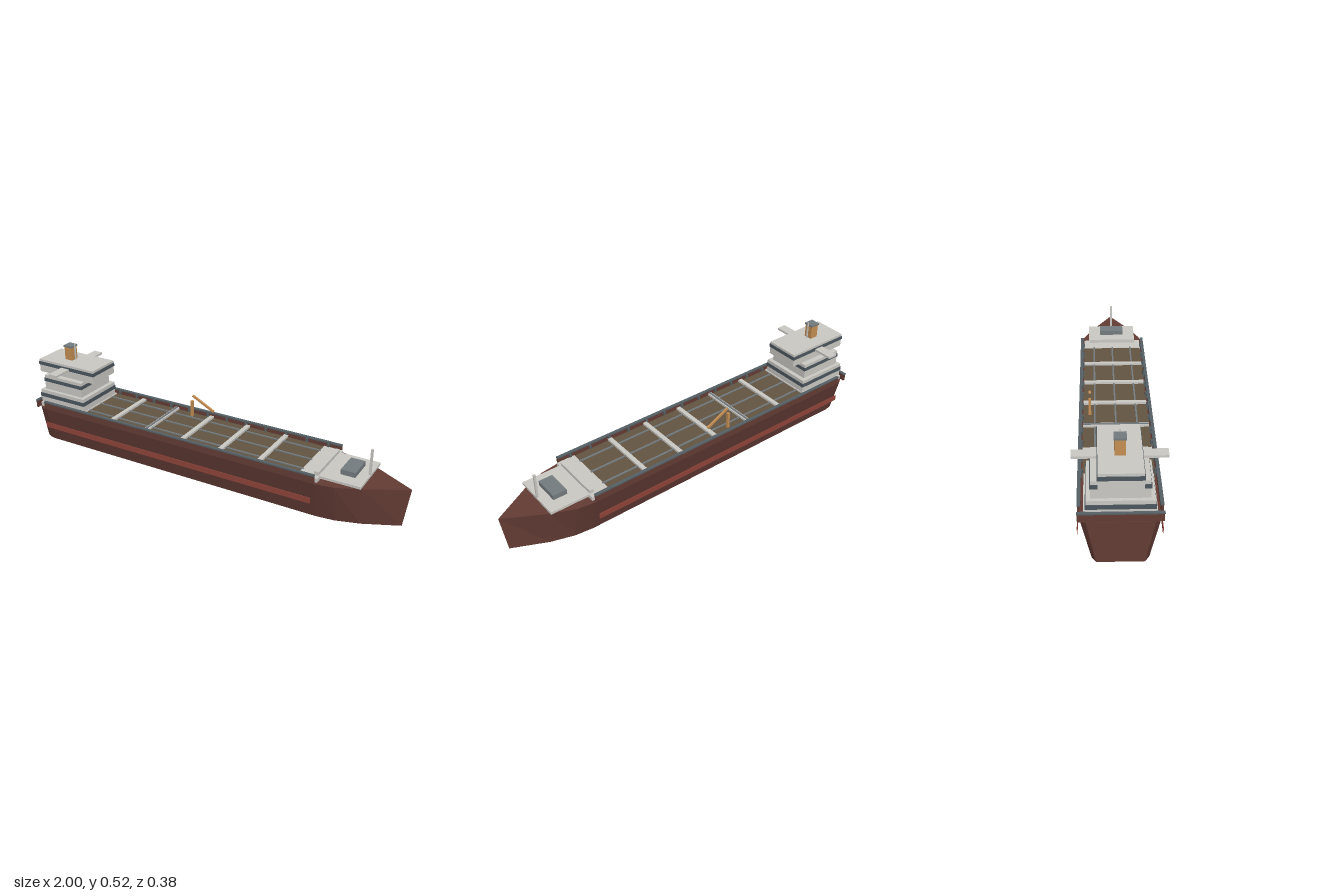
import * as THREE from 'three';

const material = (name, color) => {
  const m = new THREE.MeshStandardMaterial({ color });
  m.name = name;
  return m;
};

export function createModel() {
  const ship = new THREE.Group();
  ship.name = 'cargoShip';

  const hullRed = material('hull oxide red', 0x643c35);
  const stripeRed = material('stripe red', 0x8f4439);
  const white = material('superstructure white', 0xcbc9c4);
  const glass = material('window slate', 0x4c575f);
  const rail = material('rail grey', 0x566064);
  const steel = material('hatch grey', 0x747c80);
  const brown = material('hold brown', 0x645542);
  const ochre = material('crane ochre', 0xc58f53);

  // Box given by its x, y and z limits
  const box = (name, mat, x0, x1, y0, y1, z0, z1) => {
    const mesh = new THREE.Mesh(new THREE.BoxGeometry(x1 - x0, y1 - y0, z1 - z0), mat);
    mesh.position.set((x0 + x1) / 2, (y0 + y1) / 2, (z0 + z1) / 2);
    mesh.name = name;
    ship.add(mesh);
    return mesh;
  };
  // Box centred across the ship
  const mid = (name, mat, x0, x1, y0, y1, half) => box(name, mat, x0, x1, y0, y1, -half, half);

  // Hull: plan outline extruded upwards, narrowed at the keel
  const half = [[-0.975, 0.135], [-0.945, 0.16], [-0.91, 0.168], [0.61, 0.168], [0.7, 0.154], [0.81, 0.107]];
  const outline = [
    ...half.map(([x, z]) => new THREE.Vector2(x, -z)),
    new THREE.Vector2(1, 0),
    ...half.map(([x, z]) => new THREE.Vector2(x, z)).reverse(),
  ];
  const height = 0.194;
  const hullGeometry = new THREE.ExtrudeGeometry(new THREE.Shape(outline), { depth: height, bevelEnabled: false });
  hullGeometry.rotateX(-Math.PI / 2);
  const p = hullGeometry.attributes.position;
  for (let i = 0; i < p.count; i++) {
    if (p.getY(i) < height / 2) {
      p.setZ(i, p.getZ(i) * 0.715);
      if (p.getX(i) > 0.9) p.setX(i, 0.975);
    }
  }
  hullGeometry.computeVertexNormals();
  const hull = new THREE.Mesh(hullGeometry, hullRed);
  hull.name = 'hull';
  ship.add(hull);

  // Side stripes, bulwarks, rail caps and stanchions on both sides
  for (const s of [-1, 1]) {
    const side = (name, mat, x0, x1, y0, y1, a, b) =>
      box(name, mat, x0, x1, y0, y1, Math.min(s * a, s * b), Math.max(s * a, s * b));
    side('sideStripe', stripeRed, -0.915, 0.6, 0.09, 0.119, 0.168, 0.171);
    side('bulwark', hullRed, -0.92, 0.61, 0.193, 0.228, 0.158, 0.168);
    side('bulwarkCap', rail, -0.92, 0.61, 0.228, 0.235, 0.155, 0.17);
    for (let i = 0; i < 12; i++) {
      const x = -0.67 + i * 0.11;
      side('stanchion', rail, x, x + 0.01, 0.193, 0.228, 0.148, 0.158);
    }
  }
  mid('sternBulwark', hullRed, -0.973, -0.963, 0.194, 0.229, 0.168);
  mid('sternCap', rail, -0.975, -0.96, 0.229, 0.235, 0.17);

  // Cargo deck with cross beams and longitudinal pipes
  mid('holdCover', brown, -0.7, 0.53, 0.193, 0.211, 0.15);
  for (let i = 0; i < 5; i++) {
    const x = -0.503 + i * 0.2075;
    mid('crossBeam', white, x - 0.011, x + 0.011, 0.205, 0.222, 0.15);
  }
  mid('centreBeam', steel, -0.301, -0.291, 0.215, 0.225, 0.15);
  for (const z of [-0.097, 0, 0.097]) {
    box('deckPipe', steel, -0.7, 0.53, 0.209, 0.216, z - 0.004, z + 0.004);
  }

  // Foredeck, breakwater, windlass hatch and bow mast
  mid('foredeck', white, 0.525, 0.62, 0.193, 0.213, 0.152);
  mid('bowPlatform', white, 0.6, 0.812, 0.203, 0.215, 0.126);
  mid('breakwater', white, 0.592, 0.614, 0.205, 0.231, 0.123);
  mid('windlassHatch', steel, 0.692, 0.762, 0.215, 0.239, 0.063);
  mid('bowMast', white, 0.802, 0.812, 0.215, 0.341, 0.005);

  // Deckhouse tiers, each with a wrapped window band
  mid('houseBase', white, -0.96, -0.68, 0.193, 0.217, 0.145);
  const tiers = [
    [-0.962, -0.685, 0.217, 0.285, 0.134, 0.247, 0.267],
    [-0.945, -0.707, 0.285, 0.363, 0.116, 0.329, 0.347],
    [-0.997, -0.648, 0.363, 0.432, 0.087, 0.402, 0.42],
  ];
  for (const [x0, x1, y0, y1, w, b0, b1] of tiers) {
    mid('houseTier', white, x0, x1, y0, y1, w);
    mid('windowBand', glass, x0 - 0.003, x1 + 0.003, b0, b1, w + 0.003);
  }
  for (const s of [-1, 1]) {
    const [z0, z1] = s < 0 ? [-0.19, -0.086] : [0.086, 0.19];
    box('bridgeWing', white, -0.85, -0.8, 0.402, 0.413, z0, z1);
  }

  // Funnel and radar mast
  mid('funnel', ochre, -0.876, -0.832, 0.432, 0.501, 0.022);
  mid('funnelCap', steel, -0.879, -0.829, 0.501, 0.51, 0.025);
  mid('radarMast', white, -0.828, -0.822, 0.432, 0.52, 0.003);

  // Deck crane with a sloping boom
  box('cranePost', ochre, -0.194, -0.181, 0.21, 0.295, -0.126, -0.113);
  const from = new THREE.Vector3(-0.182, 0.325, -0.119);
  const to = new THREE.Vector3(-0.06, 0.263, -0.119);
  const boom = new THREE.Mesh(new THREE.BoxGeometry(from.distanceTo(to), 0.01, 0.01), ochre);
  boom.position.copy(from).lerp(to, 0.5);
  boom.rotation.z = Math.atan2(to.y - from.y, to.x - from.x);
  boom.name = 'craneBoom';
  ship.add(boom);

  return ship;
}
